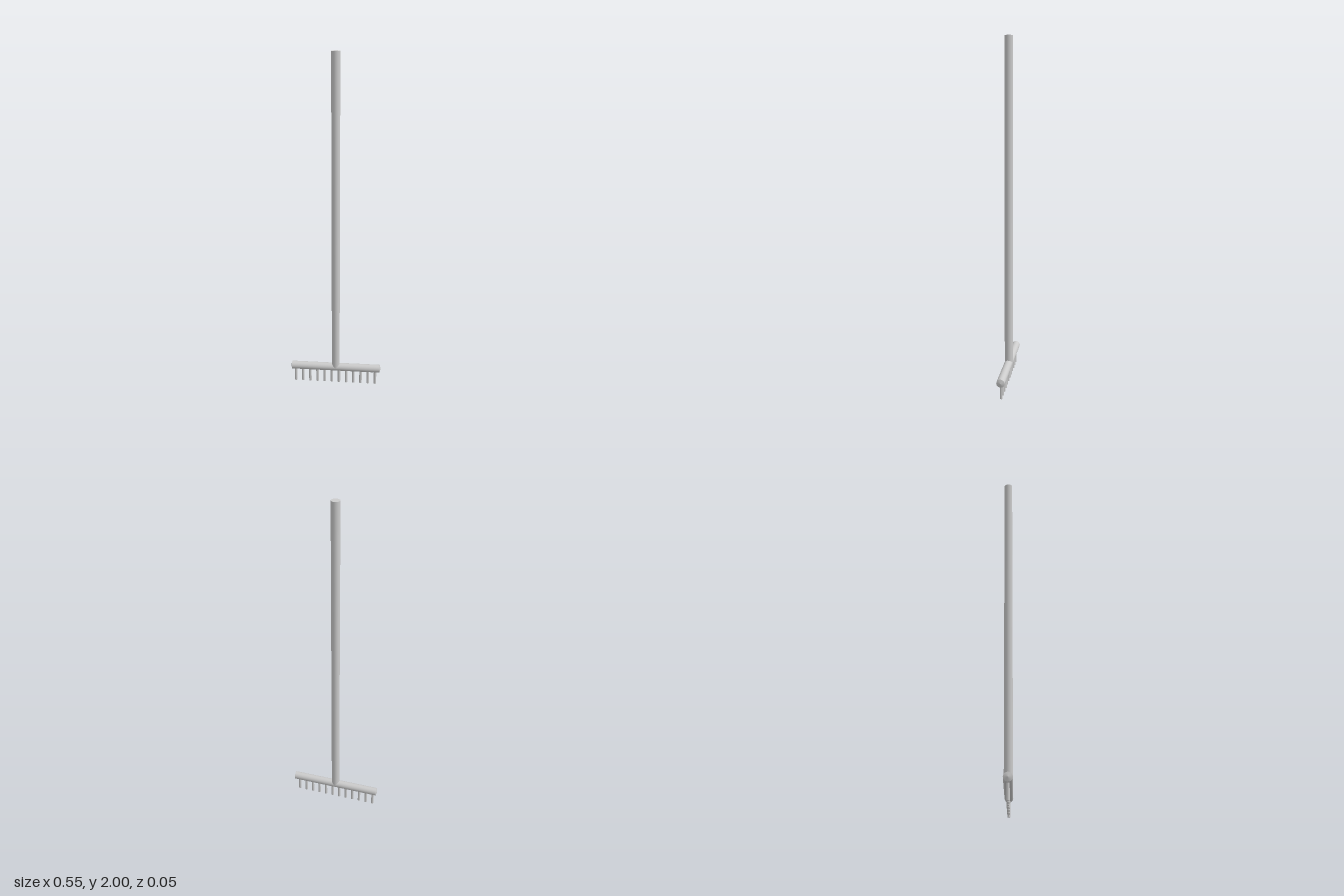
import * as THREE from 'three';

const HEAD_Y = 0.106;
const RADIUS = 0.024;
const TINES = 12;

export function createModel() {
  const group = new THREE.Group();
  const material = new THREE.MeshStandardMaterial({ color: 0xcccccc });

  const add = (name, geometry, x, y) => {
    const mesh = new THREE.Mesh(geometry, material);
    mesh.name = name;
    mesh.position.set(x, y, 0);
    group.add(mesh);
    return mesh;
  };

  // Long straight handle, sunk into the head
  const handleLength = 2 - HEAD_Y;
  add('handle', new THREE.CylinderGeometry(RADIUS, RADIUS, handleLength, 24), 0, HEAD_Y + handleLength / 2);

  // Crossbar with shallow pointed ends
  const half = 0.271;
  const tip = 0.006;
  const bar = new THREE.CylinderGeometry(RADIUS, RADIUS, half * 2, 24, 1, true).rotateZ(Math.PI / 2);
  add('head', bar, 0, HEAD_Y);
  for (const side of [-1, 1]) {
    const cap = new THREE.ConeGeometry(RADIUS, tip, 24, 1, true).rotateZ(-side * Math.PI / 2);
    add(side > 0 ? 'leftHeadEnd' : 'rightHeadEnd', cap, side * (half + tip / 2), HEAD_Y);
  }

  // Row of round tines below the crossbar
  const tineTop = 0.095;
  const tine = new THREE.CylinderGeometry(0.008, 0.008, tineTop, 12);
  for (let i = 0; i < TINES; i++) {
    add(`tine${i + 1}`, tine, -0.248 + i * 0.0447, tineTop / 2);
  }

  return group;
}
